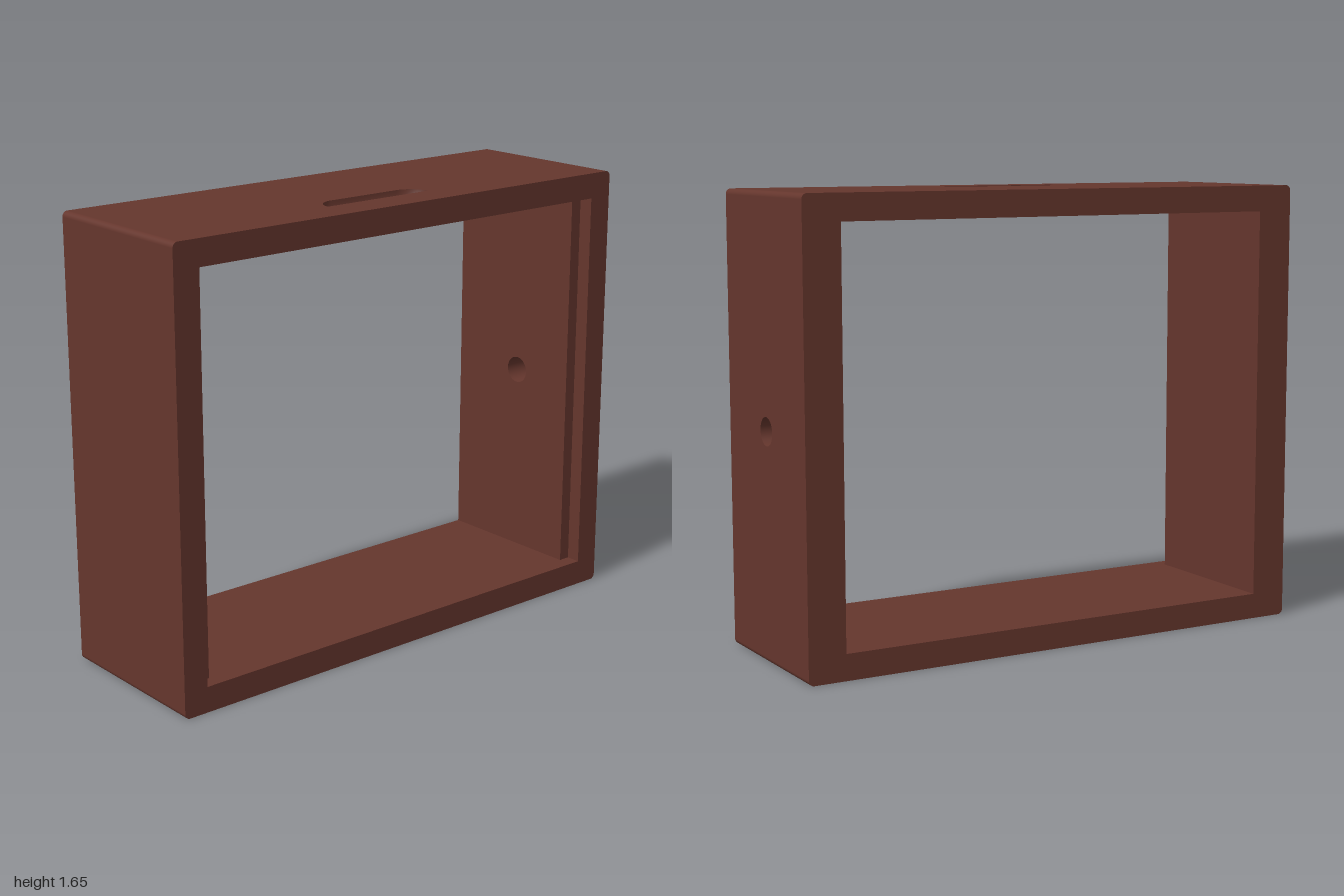
import * as THREE from 'three';

const W = 1, H = 0.825, D = 0.325;       // outer half sizes
const IH = 0.73, IW = 0.86, LIP = 0.905; // inner half height, half width, front rebate half width
const STEP = 0.27;                       // z of the rebate shoulder
const R = 0.02;                          // rounding of the long edges
const BORE = 0.051;
const NICK = { x0: -0.18, x1: 0.12, z: 0.19, r: 0.08 };

function poly(points) {
  return new THREE.Shape(points.map(([x, y]) => new THREE.Vector2(x, y)));
}
function rect(x0, x1, y0, y1) {
  return poly([[x0, y0], [x1, y0], [x1, y1], [x0, y1]]);
}

// Rounded outline of the case
function outline() {
  const s = new THREE.Shape(), a = W - R, b = H - R, q = Math.PI / 2;
  s.absarc(a, b, R, 0, q);
  s.absarc(-a, b, R, q, 2 * q);
  s.absarc(-a, -b, R, 2 * q, 3 * q);
  s.absarc(a, -b, R, 3 * q, 4 * q);
  return s;
}

// Half-stadium outline, flat on one side; bulges towards -y
function nickShape(y) {
  const { x0, x1, r } = NICK, s = new THREE.Shape();
  s.moveTo(x0 - r, y);
  s.absarc(x0, y, r, Math.PI, 1.5 * Math.PI);
  s.absarc(x1, y, r, 1.5 * Math.PI, 2 * Math.PI);
  s.closePath();
  return s;
}

// Curved floor of the finger nick, a quarter of a capsule
function nickFloor() {
  const { x0, x1, z, r } = NICK, rings = 10, n = 12, pos = [], idx = [];
  for (let k = 0; k <= rings; k++) {
    const t = (k / rings) * Math.PI / 2, rho = r * Math.cos(t), d = r * Math.sin(t);
    for (let j = 0; j < 2 * n; j++) {
      const a = Math.PI + ((j < n ? j : j - 1) / (2 * n - 2)) * Math.PI;
      pos.push((j < n ? x0 : x1) + rho * Math.cos(a), d, z + rho * Math.sin(a));
    }
  }
  for (let k = 0; k < rings; k++) {
    for (let j = 0; j < 2 * n - 1; j++) {
      const a = k * 2 * n + j, b = a + 2 * n;
      idx.push(a, a + 1, b, a + 1, b + 1, b);
    }
  }
  const g = new THREE.BufferGeometry();
  g.setAttribute('position', new THREE.Float32BufferAttribute(pos, 3));
  g.setIndex(idx);
  g.computeVertexNormals();
  return g;
}

export function createModel() {
  const wood = new THREE.MeshStandardMaterial({ color: 0x65362d, side: THREE.DoubleSide });
  wood.name = 'reddish brown';
  const model = new THREE.Group();
  model.name = 'openCase';
  const body = new THREE.Group();
  body.name = 'body';
  body.position.y = H;
  model.add(body);

  const add = (parent, name, geometry, x = 0, y = 0, z = 0) => {
    const m = new THREE.Mesh(geometry, wood);
    m.name = name;
    m.position.set(x, y, z);
    parent.add(m);
    return m;
  };
  const face = (shape) => new THREE.ShapeGeometry(shape, 24);

  // Front and back rims
  const front = outline();
  front.holes.push(rect(-LIP, LIP, -IH, IH));
  add(body, 'frontRim', face(front), 0, 0, D);
  const back = outline();
  back.holes.push(rect(-IW, IW, -IH, IH));
  add(body, 'backRim', face(back).rotateY(Math.PI), 0, 0, -D);

  // Side walls with the front rebate; only the +x wall is bored through
  for (const s of [1, -1]) {
    const side = new THREE.Group();
    side.name = s > 0 ? 'leftWall' : 'rightWall';
    side.scale.x = s;
    body.add(side);
    const outer = rect(-D, D, -H + R, H - R);
    const inner = rect(-STEP, D, -IH, IH);
    if (s > 0) {
      for (const shape of [outer, inner]) {
        shape.holes.push(new THREE.Path().absarc(0, 0, BORE, 0, 2 * Math.PI));
      }
      const bore = new THREE.CylinderGeometry(BORE, BORE, W - IW, 48, 1, true).rotateZ(Math.PI / 2);
      add(side, 'bore', bore, (W + IW) / 2);
    }
    add(side, 'outerSide', face(outer).rotateY(Math.PI / 2), W);
    // shape x runs along -z on the outside and along +z on the inside
    add(side, 'innerSide', face(inner).scale(-1, 1, 1).rotateY(-Math.PI / 2), IW);
    add(side, 'rebateShoulder', face(rect(IW, LIP, -IH, IH)), 0, 0, STEP);
    add(side, 'rebateSide', face(rect(STEP, D, -IH, IH)).rotateY(-Math.PI / 2), LIP);
  }

  // Floor, and its mirror image as the ceiling
  for (const s of [1, -1]) {
    const board = new THREE.Group();
    board.name = s > 0 ? 'bottomBoard' : 'topBoard';
    board.scale.y = s;
    body.add(board);
    const outer = rect(-W + R, W - R, -D, D);
    outer.holes.push(nickShape(NICK.z));
    add(board, 'outerFace', face(outer).rotateX(Math.PI / 2), 0, -H);
    const inner = poly([[-IW, D], [-IW, -STEP], [-LIP, -STEP], [-LIP, -D],
      [LIP, -D], [LIP, -STEP], [IW, -STEP], [IW, D]]);
    add(board, 'innerFace', face(inner).rotateX(-Math.PI / 2), 0, -IH);
    // Finger nick: curved floor and a straight front wall
    add(board, 'nickFloor', nickFloor(), 0, -H);
    add(board, 'nickWall', face(nickShape(0)).rotateX(Math.PI), 0, -H, NICK.z);
    // Rounded long edges
    for (const e of [1, -1]) {
      const start = e > 0 ? 0 : 1.5 * Math.PI;
      const edge = new THREE.CylinderGeometry(R, R, 2 * D, 8, 1, true, start, Math.PI / 2);
      add(board, 'roundedEdge', edge.rotateX(Math.PI / 2), e * (W - R), -H + R);
    }
  }
  return model;
}
